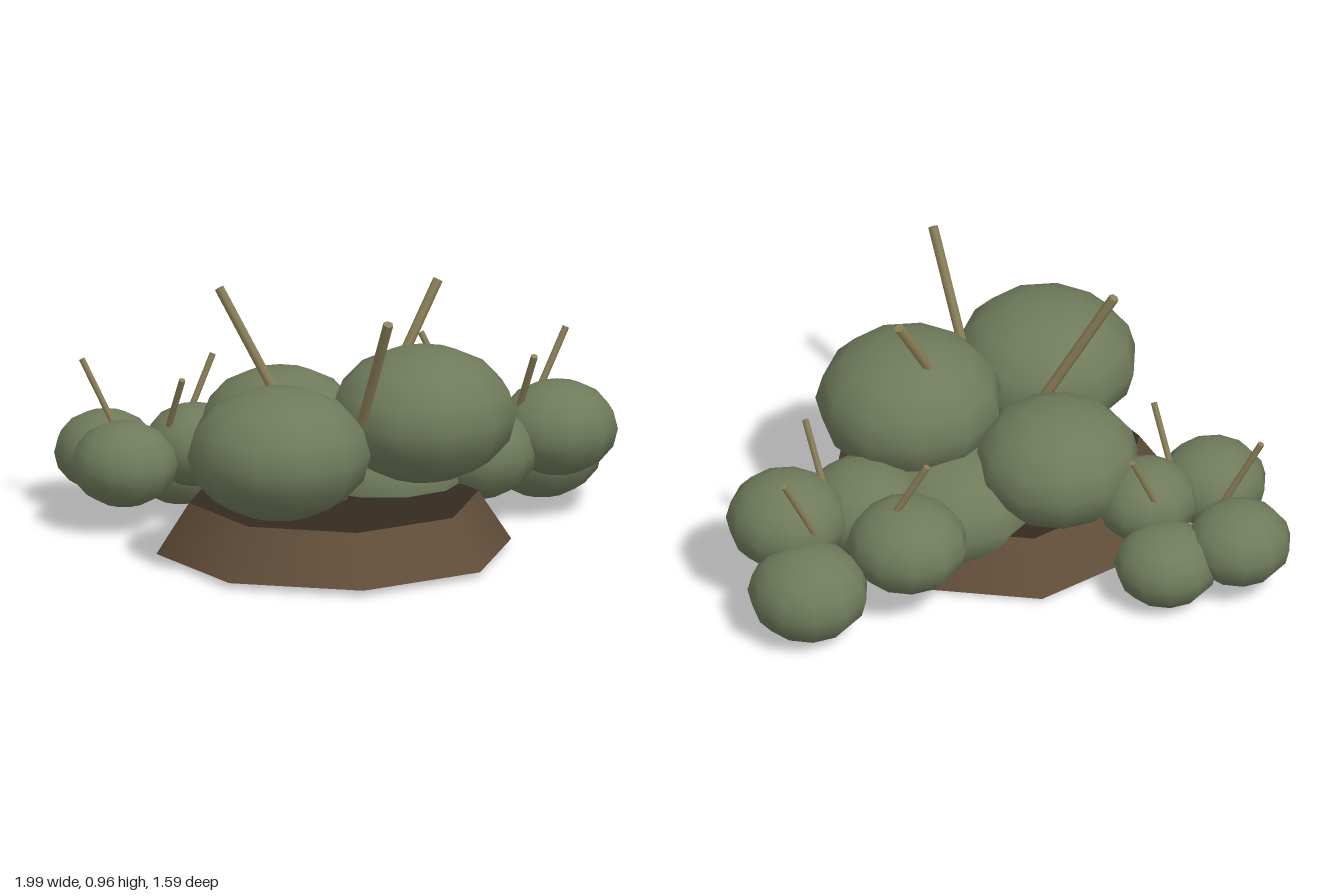
import * as THREE from 'three';

export function createModel() {
  const group = new THREE.Group();
  const make = (name, color) => {
    const m = new THREE.MeshStandardMaterial({ color });
    m.name = name;
    return m;
  };
  const leaf = make('leaf green', 0x6f7b5b);
  const soil = make('soil brown', 0x614d39);
  const darkSoil = make('dark soil', 0x352b20);
  const twig = make('dry twig', 0x8b8058);

  // Eight-sided soil mound, tipped slightly back
  const mound = new THREE.Mesh(
    new THREE.CylinderGeometry(0.53, 0.65, 0.185, 8),
    [soil, darkSoil, soil]
  );
  mound.name = 'soilMound';
  mound.position.set(-0.1, 0.112, 0.14);
  mound.rotation.x = -0.01;
  group.add(mound);

  // Flattened foliage clump: centre, horizontal radius, vertical radius
  const ball = new THREE.SphereGeometry(1, 11, 8);
  const addClump = (parent, [x, y, z, r, h]) => {
    const clump = new THREE.Mesh(ball, leaf);
    clump.name = 'foliageClump';
    clump.position.set(x, y, z);
    clump.scale.set(r, h, r);
    parent.add(clump);
  };

  // Straight twig from a buried foot to its tip
  const up = new THREE.Vector3(0, 1, 0);
  const addTwig = (parent, foot, tip, radius) => {
    const a = new THREE.Vector3(...foot);
    const b = new THREE.Vector3(...tip);
    const dir = b.clone().sub(a);
    const stick = new THREE.Mesh(
      new THREE.CylinderGeometry(radius, radius, dir.length(), 6), twig);
    stick.name = 'twig';
    stick.position.copy(a).add(b).multiplyScalar(0.5);
    stick.quaternion.setFromUnitVectors(up, dir.normalize());
    parent.add(stick);
  };

  const bushes = [
    {
      name: 'mainBush', radius: 0.019,
      clumps: [
        [-0.34, 0.44, 0.37, 0.335, 0.24],
        [0.225, 0.505, 0.15, 0.34, 0.245],
        [-0.24, 0.385, -0.19, 0.3, 0.22],
        [0.12, 0.215, -0.1, 0.3, 0.212],
      ],
      twigs: [
        [[-0.2, 0.38, 0.09], [-0.49, 0.955, -0.04]],
        [[-0.08, 0.2, 0.18], [0.03, 0.955, 0.56]],
        [[0.1, 0.56, 0.07], [0.31, 0.955, -0.03]],
      ],
    },
    {
      name: 'leftBush', radius: 0.013,
      clumps: [
        [0.47, 0.275, -0.14, 0.22, 0.17],
        [0.78, 0.33, -0.225, 0.22, 0.172],
        [0.38, 0.28, -0.42, 0.22, 0.165],
        [0.765, 0.18, -0.48, 0.22, 0.172],
      ],
      twigs: [
        [[0.47, 0.33, -0.4], [0.32, 0.64, -0.47]],
        [[0.61, 0.3, -0.24], [0.67, 0.64, -0.07]],
        [[0.7, 0.33, -0.4], [0.85, 0.64, -0.46]],
      ],
    },
    {
      name: 'rightBush', radius: 0.012,
      clumps: [
        [-0.8, 0.25, -0.27, 0.195, 0.155],
        [-0.525, 0.285, -0.37, 0.185, 0.15],
        [-0.81, 0.21, -0.61, 0.19, 0.15],
        [-0.54, 0.155, -0.6, 0.19, 0.148],
      ],
      twigs: [
        [[-0.76, 0.25, -0.47], [-0.91, 0.575, -0.54]],
        [[-0.65, 0.27, -0.35], [-0.6, 0.575, -0.19]],
        [[-0.56, 0.28, -0.49], [-0.43, 0.575, -0.54]],
      ],
    },
  ];

  for (const { name, radius, clumps, twigs } of bushes) {
    const bush = new THREE.Group();
    bush.name = name;
    clumps.forEach((c) => addClump(bush, c));
    twigs.forEach(([foot, tip]) => addTwig(bush, foot, tip, radius));
    group.add(bush);
  }
  return group;
}
